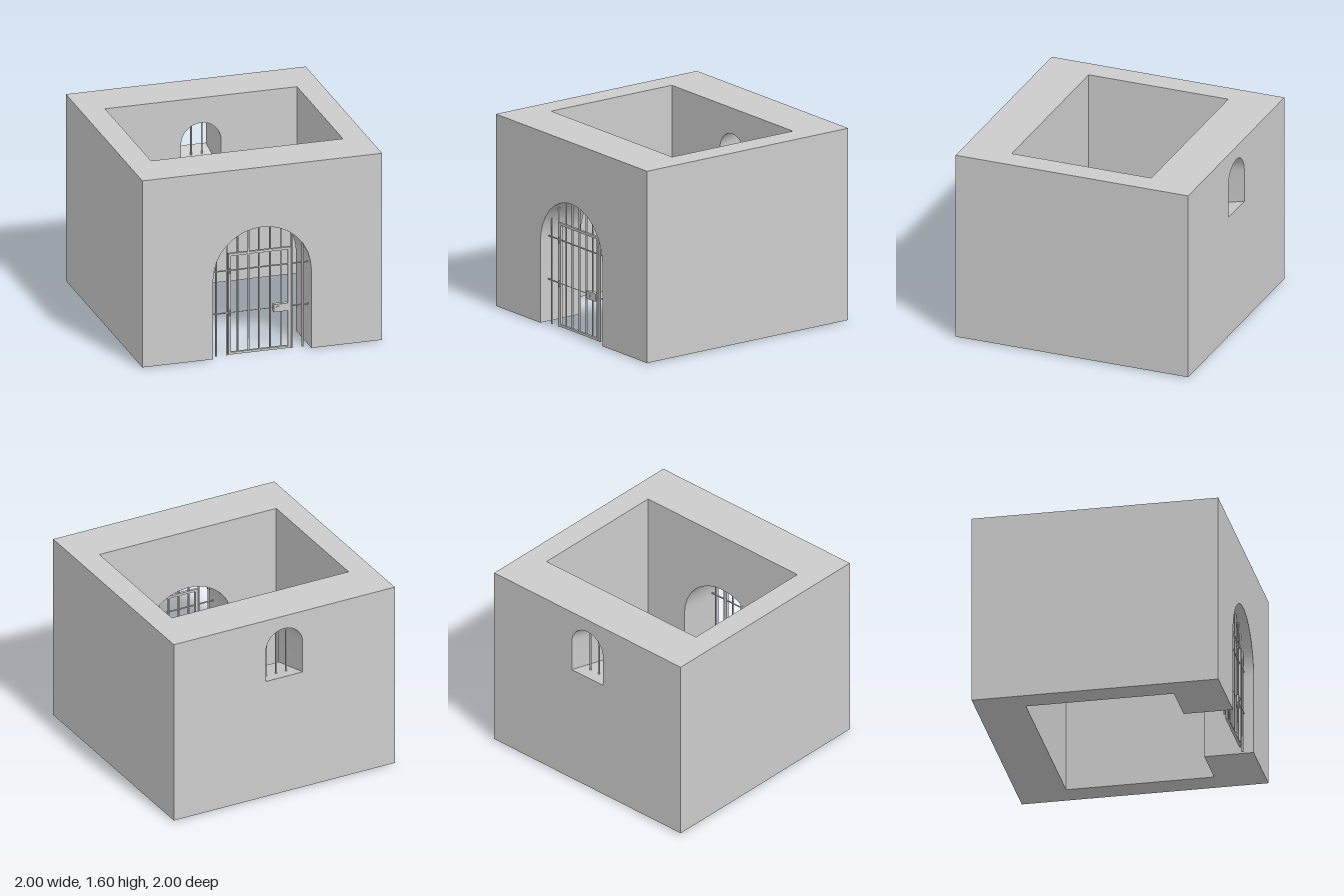
import * as THREE from 'three';
import { toCreasedNormals } from 'three/addons/utils/BufferGeometryUtils.js';

const BASE = 0.01, TOP = 1.6;
const BARS_Z = 0.92;
const DOOR = { r: 0.41, foot: BASE, spring: 0.68 };
const WINDOW = { r: 0.167, foot: 1.05, spring: 1.32 };
const SILL_DROP = 0.1; // the window slopes down towards the room

// Round-headed opening, from left foot over the crown to right foot
function archPoints({ r, foot, spring }, dy = 0, segments = 16) {
  const pts = [new THREE.Vector2(-r, foot + dy)];
  for (let i = 0; i <= segments; i++) {
    const a = Math.PI * (1 - i / segments);
    pts.push(new THREE.Vector2(r * Math.cos(a), spring + dy + r * Math.sin(a)));
  }
  pts.push(new THREE.Vector2(r, foot + dy));
  return pts;
}

const vec = (list) => list.map(([x, y]) => new THREE.Vector2(x, y));
const rect = (w, y0, y1) => vec([[-w, y0], [w, y0], [w, y1], [-w, y1]]);

// Inner surface of an opening, from its front edge to its back edge
function revealGeometry(front, back, zFront, zBack, closed) {
  const pos = [];
  const count = front.length - (closed ? 0 : 1);
  for (let i = 0; i < count; i++) {
    const j = (i + 1) % front.length;
    const af = [front[i].x, front[i].y, zFront], bf = [front[j].x, front[j].y, zFront];
    const ab = [back[i].x, back[i].y, zBack], bb = [back[j].x, back[j].y, zBack];
    pos.push(...af, ...ab, ...bf, ...bf, ...ab, ...bb);
  }
  const g = new THREE.BufferGeometry();
  g.setAttribute('position', new THREE.Float32BufferAttribute(pos, 3));
  return toCreasedNormals(g, 0.6);
}

export function createModel() {
  const model = new THREE.Group();
  model.name = 'barredCell';
  const material = new THREE.MeshStandardMaterial({ color: 0xcccccc });

  function add(parent, name, geometry, x = 0, y = 0, z = 0) {
    const mesh = new THREE.Mesh(geometry, material);
    mesh.name = name;
    mesh.position.set(x, y, z);
    parent.add(mesh);
    return mesh;
  }
  function group(name) {
    const g = new THREE.Group();
    g.name = name;
    model.add(g);
    return g;
  }
  function verticalBar(parent, name, x, y0, y1, z, r = 0.008) {
    return add(parent, name, new THREE.CylinderGeometry(r, r, y1 - y0, 8), x, (y0 + y1) / 2, z);
  }
  function crossBar(parent, name, x0, x1, y, z, r) {
    const g = new THREE.CylinderGeometry(r, r, x1 - x0, 8).rotateZ(Math.PI / 2);
    return add(parent, name, g, (x0 + x1) / 2, y, z);
  }

  // Stone walls
  const walls = group('walls');
  const H = TOP - BASE, midY = (TOP + BASE) / 2;

  // Front wall faces, notched by the doorway
  const doorArch = archPoints(DOOR);
  const notched = (w) => new THREE.ShapeGeometry(new THREE.Shape(
    [...vec([[-w, BASE]]), ...doorArch, ...vec([[w, BASE], [w, TOP], [-w, TOP]])]));
  add(walls, 'frontWallOutside', notched(1), 0, 0, 1);
  add(walls, 'frontWallInside', notched(0.8).rotateY(Math.PI), 0, 0, 0.6);
  add(walls, 'doorwayReveal', revealGeometry(doorArch, doorArch, 1, 0.6, false));

  // Back wall faces, pierced by the sloping window
  const pierced = (w, hole) => {
    const s = new THREE.Shape(rect(w, BASE, TOP));
    s.holes.push(new THREE.Path(hole));
    return new THREE.ShapeGeometry(s);
  };
  const outerWindow = archPoints(WINDOW), innerWindow = archPoints(WINDOW, -SILL_DROP);
  add(walls, 'backWallOutside', pierced(1, outerWindow).rotateY(Math.PI), 0, 0, -1);
  add(walls, 'backWallInside', pierced(0.8, innerWindow), 0, 0, -0.6);
  add(walls, 'windowReveal', revealGeometry(innerWindow, outerWindow, -0.6, -1, true));

  // Side walls
  for (const s of [-1, 1]) {
    const side = s > 0 ? 'left' : 'right';
    add(walls, side + 'WallOutside',
      new THREE.PlaneGeometry(2, H).rotateY(s * Math.PI / 2), s, midY, 0);
    add(walls, side + 'WallInside',
      new THREE.PlaneGeometry(1.2, H).rotateY(-s * Math.PI / 2), s * 0.8, midY, 0);
  }

  // Top rim and underside, the latter open at the doorway
  const rim = new THREE.Shape(rect(1, -1, 1));
  rim.holes.push(new THREE.Path(rect(0.8, -0.6, 0.6)));
  add(walls, 'wallTop', new THREE.ShapeGeometry(rim).rotateX(-Math.PI / 2), 0, TOP, 0);
  const d = DOOR.r;
  const foot = new THREE.Shape(vec([[d, 1], [1, 1], [1, -1], [-1, -1], [-1, 1], [-d, 1],
    [-d, 0.6], [-0.8, 0.6], [-0.8, -0.6], [0.8, -0.6], [0.8, 0.6], [d, 0.6]]));
  add(walls, 'wallUnderside', new THREE.ShapeGeometry(foot).rotateX(Math.PI / 2), 0, BASE, 0);

  // Fixed bars filling the arch around the gate
  const grille = group('doorwayBars');
  const gateTop = 0.865, gateHalf = 0.26;
  for (let i = -4; i <= 4; i++) {
    const x = i * 0.09;
    const crown = DOOR.spring + Math.sqrt(DOOR.r ** 2 - x * x);
    const start = Math.abs(i) > 2 ? 0 : gateTop - 0.005;
    verticalBar(grille, 'fixedBar', x, start, crown, BARS_Z);
  }
  for (const y of [0.36, 0.72]) {
    crossBar(grille, 'fixedCrossBar', -0.412, -gateHalf, y, BARS_Z, 0.006);
    crossBar(grille, 'fixedCrossBar', gateHalf, 0.412, y, BARS_Z, 0.006);
  }

  // Gate: frame, bars and cross bars
  const gate = group('gate');
  const frameShape = new THREE.Shape(rect(gateHalf, 0.005, gateTop));
  frameShape.holes.push(new THREE.Path(rect(gateHalf - 0.022, 0.024, gateTop - 0.02)));
  add(gate, 'gateFrame', new THREE.ExtrudeGeometry(frameShape,
    { depth: 0.022, bevelEnabled: false }), 0, 0, BARS_Z - 0.011);
  for (let i = -2; i <= 2; i++) verticalBar(gate, 'gateBar', i * 0.09, 0.015, 0.855, BARS_Z);
  crossBar(gate, 'gateCrossBar', -0.245, 0.245, 0.72, BARS_Z, 0.006);
  crossBar(gate, 'gateCrossBar', -0.245, 0.245, 0.36, BARS_Z, 0.003);

  // Hinges
  for (const y of [0.36, 0.72]) verticalBar(gate, 'hinge', -0.25, y - 0.025, y + 0.025, BARS_Z + 0.011, 0.007);

  // Lock with round boss, keyhole plate and bolt
  const lock = new THREE.Group();
  lock.name = 'lock';
  lock.position.set(0.177, 0.358, BARS_Z);
  gate.add(lock);
  add(lock, 'lockCase', new THREE.BoxGeometry(0.117, 0.065, 0.036));
  add(lock, 'lockBoss', new THREE.CylinderGeometry(0.017, 0.017, 0.046, 16).rotateX(Math.PI / 2), -0.027);
  add(lock, 'keyholePlate', new THREE.BoxGeometry(0.006, 0.022, 0.042), 0.038);
  add(lock, 'bolt', new THREE.BoxGeometry(0.03, 0.02, 0.012), 0.068);

  // Window bars
  const windowBars = group('windowBars');
  const z = -0.865, drop = SILL_DROP * (z + 1) / 0.4;
  for (const x of [-0.09, 0, 0.09]) {
    const crown = WINDOW.spring + Math.sqrt(WINDOW.r ** 2 - x * x) - drop;
    verticalBar(windowBars, 'windowBar', x, WINDOW.foot - drop - 0.005, crown + 0.005, z);
  }
  return model;
}
